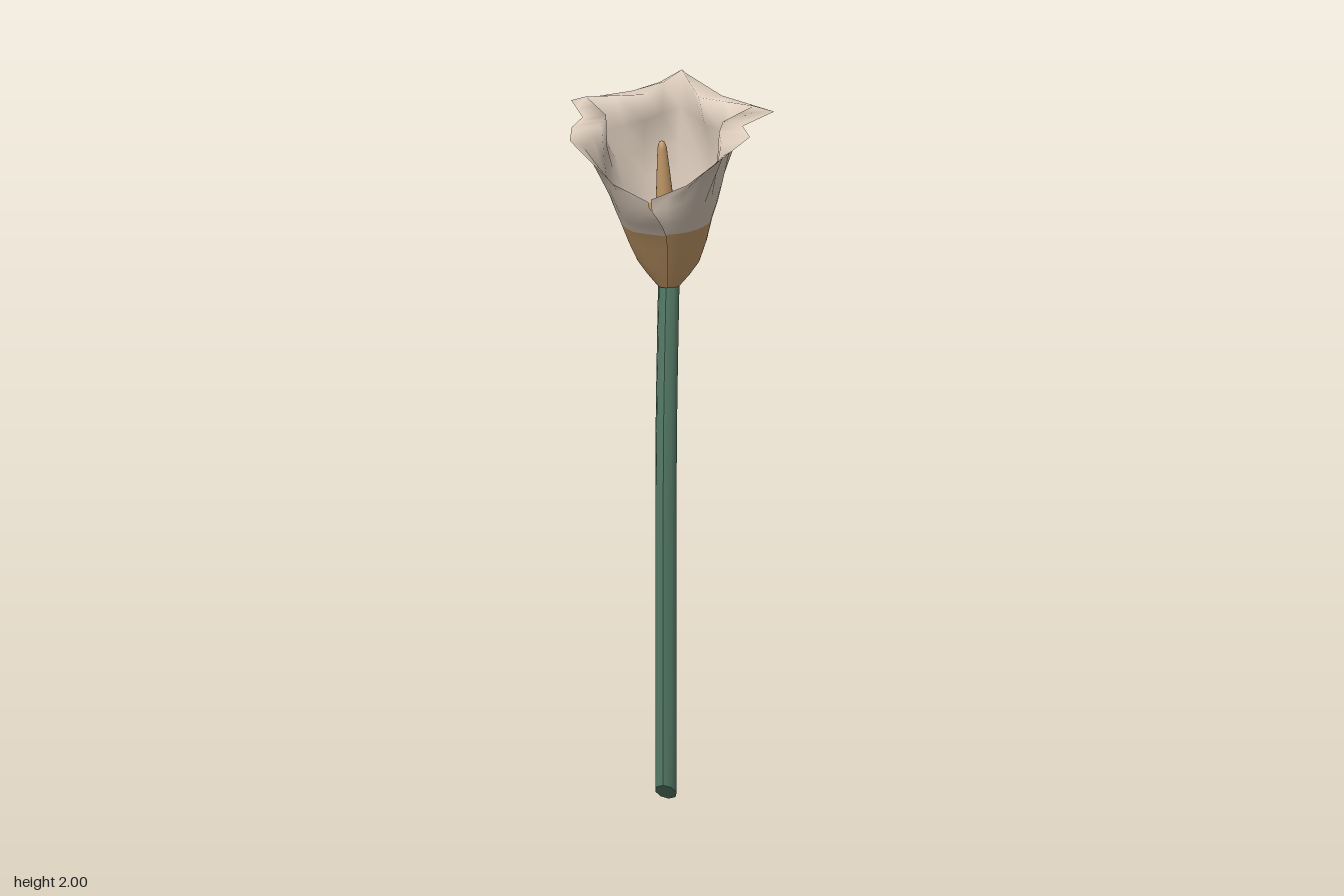
import * as THREE from 'three';

const green = new THREE.MeshStandardMaterial({ color: 0x567c68 });
const tan = new THREE.MeshStandardMaterial({ color: 0xc99e6b, side: THREE.DoubleSide });
const cream = new THREE.MeshStandardMaterial({ color: 0xdacaba, side: THREE.DoubleSide });
green.name = 'stemGreen'; tan.name = 'warmTan'; cream.name = 'petalCream';

// Half outline from front to back: angle, folded crest and outer rim (x, y, z)
const half = [
  { a: 0, crest: [0, 1.695, 0.172], rim: [0, 1.71, 0.178] },
  { a: 30, crest: [0.09, 1.735, 0.172], rim: [0.1, 1.755, 0.178] },
  { a: 55, crest: [0.195, 1.835, 0.145], rim: [0.23, 1.86, 0.17] },
  { a: 76, crest: [0.165, 1.885, 0.075], rim: [0.25, 1.875, 0.07] },
  { a: 92, crest: [0.164, 1.905, 0.03], rim: [0.225, 1.9, 0.05] },
  { a: 112, crest: [0.235, 1.94, -0.028], rim: [0.285, 1.92, -0.06] },
  { a: 145, crest: [0.075, 1.95, -0.05], rim: [0.125, 1.945, -0.11] },
  { a: 180, crest: [0, 2.0, -0.16], rim: [0, 1.978, -0.21] },
];

// Bell rings: front y, back y, half width, front z, back z, overlap z, overlap x
const rings = [
  [1.43, 1.43, 0.03, 0.015, -0.045, 0.003, 0.005],
  [1.5, 1.5, 0.085, 0.062, -0.088, 0.006, 0.02],
  [1.602, 1.645, 0.126, 0.13, -0.107, 0.008, 0.033],
  [1.655, 1.8, 0.158, 0.162, -0.125, 0.02, 0.022],
];

// One column of the wrapped petal; s runs 0 (inner front edge) .. 14 (outer front edge)
function column(s) {
  const side = s <= 7 ? 1 : -1;
  const h = s <= 7 ? s : 14 - s;
  const i = Math.min(6, Math.floor(h)), f = h - i;
  const mix = (p, q) => new THREE.Vector3(...p).lerp(new THREE.Vector3(...q), f);
  const a = THREE.MathUtils.degToRad(THREE.MathUtils.lerp(half[i].a, half[i + 1].a, f));
  const wrap = side < 0 ? Math.max(0, Math.min(1, 2 - h)) : 0;
  const edge = side < 0 ? Math.max(0, 1 - h) : 0;
  const pts = rings.map(([yf, yb, w, zf, zb, oz, ox]) => {
    const k = (1 - Math.cos(a)) / 2;
    return new THREE.Vector3(
      side * Math.sin(a) * w + edge * ox,
      THREE.MathUtils.lerp(yf, yb, k),
      THREE.MathUtils.lerp(zf, zb, k) + wrap * oz);
  });
  const lip = ['crest', 'rim'].map((key) => {
    const p = mix(half[i][key], half[i + 1][key]);
    p.x *= side;
    p.z += wrap * 0.03;
    return p;
  });
  const curve = new THREE.CatmullRomCurve3([...pts, lip[0]]);
  const out = [];
  for (let r = 0; r <= 8; r++) out.push(curve.getPoint(r / 8));
  out.push(lip[1]);
  return out;
}

function petalGeometry() {
  const COLS = 28, ROWS = 9, TAN_ROWS = 4;
  const pos = [], idx = [];
  for (let c = 0; c <= COLS; c++) column(c / 2).forEach((p) => pos.push(p.x, p.y, p.z));
  for (let r = 0; r < ROWS; r++) {
    for (let c = 0; c < COLS; c++) {
      const a = c * (ROWS + 1) + r, b = a + ROWS + 1;
      idx.push(a, b, b + 1, a, b + 1, a + 1);
    }
  }
  const g = new THREE.BufferGeometry();
  g.setAttribute('position', new THREE.Float32BufferAttribute(pos, 3));
  g.setIndex(idx);
  g.computeVertexNormals();
  g.addGroup(0, TAN_ROWS * COLS * 6, 0);
  g.addGroup(TAN_ROWS * COLS * 6, (ROWS - TAN_ROWS) * COLS * 6, 1);
  return g;
}

// Gently bent stem with a slanted cut at the foot
function stemGeometry() {
  const H = 1.445, R = 0.03;
  const g = new THREE.CylinderGeometry(R, R, H, 8, 10);
  const p = g.attributes.position;
  for (let i = 0; i < p.count; i++) {
    let y = p.getY(i) + H / 2;
    const z = p.getZ(i);
    const t = Math.max(0, (y - 0.95) / 0.49);
    if (y < 0.01) y = 0.025 + z * 0.83;
    p.setXYZ(i, p.getX(i), y, z + 0.014 - 0.031 * Math.pow(t, 1.3));
  }
  g.computeVertexNormals();
  return g;
}

export function createModel() {
  const model = new THREE.Group();
  model.name = 'flower';
  const add = (name, geo, mat) => {
    const m = new THREE.Mesh(geo, mat);
    m.name = name;
    model.add(m);
    return m;
  };

  add('stem', stemGeometry(), green);
  add('wrappedPetal', petalGeometry(), [tan, cream]);

  // Tapered spike leaning forward inside the bell
  const profile = [[0.026, 0], [0.031, 0.1], [0.027, 0.21], [0.019, 0.32], [0.013, 0.395], [0.008, 0.412], [0, 0.417]]
    .map(([r, y]) => new THREE.Vector2(r, y));
  const spike = add('spadix', new THREE.LatheGeometry(profile, 12), tan);
  spike.position.set(0, 1.44, -0.017);
  spike.rotation.x = 0.186;

  return model;
}
